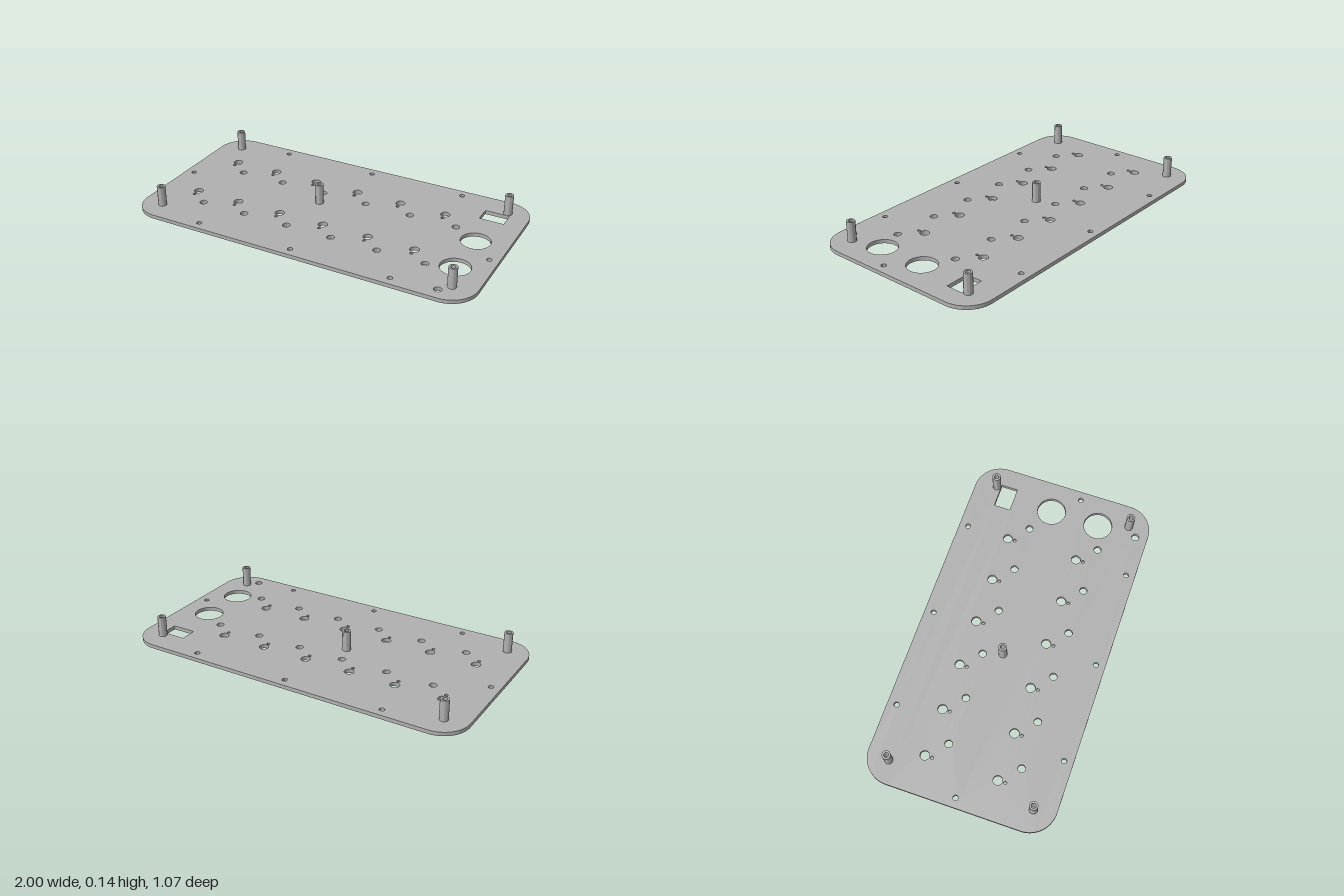
import * as THREE from 'three';
import { toCreasedNormals } from 'three/addons/utils/BufferGeometryUtils.js';

const W = 1, D = 0.533, R = 0.155, TOP = 0.022;
const ROWS = [-0.235, 0.18], COLUMNS = 6, STEP = 0.2715;

function circle(x, z, r) {
  return new THREE.Path().absarc(x, z, r, 0, Math.PI * 2, true);
}

function rect(x0, z0, x1, z1) {
  return new THREE.Path([[x0, z0], [x0, z1], [x1, z1], [x1, z0], [x0, z0]]
    .map(([x, z]) => new THREE.Vector2(x, z)));
}

// Rounded outline of the panel
function outline() {
  const s = new THREE.Shape();
  s.absarc(W - R, D - R, R, 0, Math.PI / 2);
  s.absarc(-W + R, D - R, R, Math.PI / 2, Math.PI);
  s.absarc(-W + R, -D + R, R, Math.PI, Math.PI * 1.5);
  s.absarc(W - R, -D + R, R, Math.PI * 1.5, Math.PI * 2);
  s.closePath();
  return s;
}

export function createModel() {
  const group = new THREE.Group();
  const grey = new THREE.MeshStandardMaterial({ color: 0xb0b0b0 });
  grey.name = 'grey';

  function add(name, geometry) {
    const mesh = new THREE.Mesh(toCreasedNormals(geometry, 0.6), grey);
    mesh.name = name;
    group.add(mesh);
    return mesh;
  }

  const through = [], pilots = [], grooves = [];

  // Two rows of control holes, with blind pilot holes and grooves beneath
  for (const z of ROWS) {
    for (let i = 0; i < COLUMNS; i++) {
      const x = -0.786 + i * STEP;
      through.push(circle(x, z, 0.026), circle(x + 0.101, z + 0.099, 0.021));
      pilots.push(circle(x, z + 0.042, 0.009));
      grooves.push(rect(x - 0.115, z + 0.196, x + 0.115, z + 0.203));
    }
    grooves.push(rect(-0.843, z - 0.086, 0.662, z - 0.075));
  }

  // Screw holes along the edges
  for (const x of [-0.572, 0, 0.572]) {
    for (const z of [-0.481, 0.481]) through.push(circle(x, z, 0.0145));
  }
  through.push(circle(-0.947, 0, 0.0145), circle(0.947, 0.091, 0.0145));

  // Connector openings
  through.push(
    circle(0.82, -0.05, 0.082),
    circle(0.82, 0.235, 0.082),
    circle(0.82, 0.463, 0.021),
    rect(0.751, -0.382, 0.89, -0.286),
  );

  // Panel in layers, so grooves and pilots are recessed
  function layer(name, y0, y1, extra) {
    const shape = outline();
    shape.holes = [...through, ...extra];
    const g = new THREE.ExtrudeGeometry(shape, {
      depth: y1 - y0, bevelEnabled: false, curveSegments: 16,
    });
    g.rotateX(Math.PI / 2);
    g.translate(0, y1, 0);
    add(name, g);
  }
  layer('panelUnderside', 0, 0.004, grooves);
  layer('panelCore', 0.004, 0.01, []);
  layer('panelTop', 0.01, TOP, pilots);

  // Hollow standoffs
  const profile = [[0.024, TOP], [0.024, 0.138], [0.013, 0.138], [0.013, 0.03], [0, 0.03]]
    .map(([r, y]) => new THREE.Vector2(r, y));
  const posts = [[-0.872, -0.408], [0.872, -0.408], [-0.872, 0.408], [0.872, 0.408], [-0.107, -0.028]];
  for (const [x, z] of posts) {
    add('standoff', new THREE.LatheGeometry(profile, 32)).position.set(x, 0, z);
  }
  return group;
}
